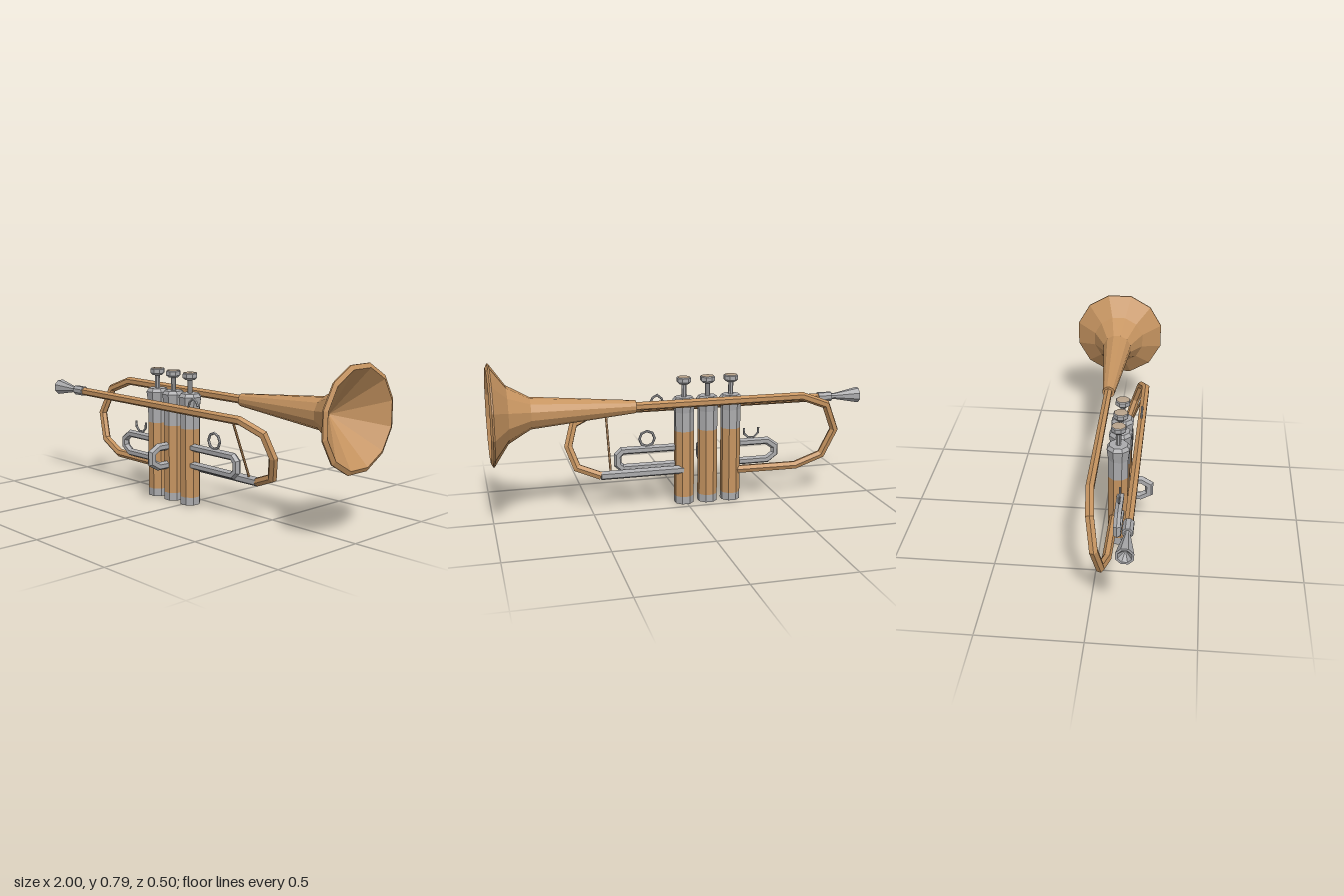
import * as THREE from 'three';

const brass = new THREE.MeshStandardMaterial({ color: 0xc69460 });
brass.name = 'brass';
const silver = new THREE.MeshStandardMaterial({ color: 0xababad });
silver.name = 'silver';
const pearl = new THREE.MeshStandardMaterial({ color: 0xb9a48c });
pearl.name = 'pearl';

// Faceted mesh: split the corners so every face has its own normal
function part(parent, name, geometry, material) {
  const g = geometry.index ? geometry.toNonIndexed() : geometry;
  g.computeVertexNormals();
  const mesh = new THREE.Mesh(g, material);
  mesh.name = name;
  parent.add(mesh);
  return mesh;
}

// Turned profile of [radius, height] pairs, with flats facing the axes
function turned(profile, sides) {
  const pts = profile.map(([r, h]) => new THREE.Vector2(r, h));
  return new THREE.LatheGeometry(pts, sides, Math.PI / sides);
}

// Pipe through corner points, with mitred joints and closed ends
function pipe(points, radius, sides = 6) {
  const P = points.map((p) => new THREE.Vector3(...p));
  const dirs = P.slice(1).map((p, i) => p.clone().sub(P[i]).normalize());
  const first = dirs[0];
  const u = Math.abs(first.y) < 0.9 ? new THREE.Vector3(0, 1, 0) : new THREE.Vector3(1, 0, 0);
  u.addScaledVector(first, -u.dot(first)).normalize();
  const pos = [];
  const idx = [];
  P.forEach((p, i) => {
    const tin = dirs[Math.max(i - 1, 0)];
    const tout = dirs[Math.min(i, dirs.length - 1)];
    const mitre = tin.clone().add(tout).normalize();
    const v = tin.clone().cross(u);
    for (let k = 0; k < sides; k++) {
      const a = (k / sides) * Math.PI * 2;
      const o = u.clone().multiplyScalar(radius * Math.cos(a)).addScaledVector(v, radius * Math.sin(a));
      o.addScaledVector(tin, -o.dot(mitre) / tin.dot(mitre));
      pos.push(p.x + o.x, p.y + o.y, p.z + o.z);
      if (i < P.length - 1) {
        const A = i * sides + k;
        const B = i * sides + ((k + 1) % sides);
        idx.push(A, B, A + sides, B, B + sides, A + sides);
      }
    }
    u.applyQuaternion(new THREE.Quaternion().setFromUnitVectors(tin, tout));
  });
  const last = (P.length - 1) * sides;
  for (let k = 1; k < sides - 1; k++) {
    idx.push(0, k + 1, k, last, last + k, last + k + 1);
  }
  const g = new THREE.BufferGeometry();
  g.setAttribute('position', new THREE.Float32BufferAttribute(pos, 3));
  g.setIndex(idx);
  return g;
}

// Piston valve standing at x
function valve(x) {
  const g = new THREE.Group();
  g.name = 'valve';
  g.position.set(x, 0, 0.085);
  part(g, 'bottomCap', turned([[0, 0], [0.052, 0], [0.052, 0.04]], 8), silver);
  part(g, 'casing', turned([[0.052, 0.04], [0.052, 0.39]], 8), brass);
  part(g, 'topCap', turned([[0.052, 0.39], [0.052, 0.49], [0.06, 0.55], [0.047, 0.567], [0, 0.567]], 8), silver);
  part(g, 'stem', turned([[0.013, 0.56], [0.013, 0.645]], 8), silver);
  part(g, 'button', turned([[0, 0.634], [0.026, 0.634], [0.038, 0.645], [0.038, 0.665], [0.034, 0.67]], 8), silver);
  part(g, 'buttonTop', turned([[0.034, 0.67], [0, 0.672]], 8), pearl);
  return g;
}

export function createModel() {
  const model = new THREE.Group();
  model.name = 'trumpet';

  // Flared bell with a rim and a hollow cone inside
  const bell = part(model, 'bell', turned([
    [0, 0.28], [0.032, 0.28], [0.079, 0.8], [0.142, 0.91], [0.2485, 0.983],
    [0.2485, 0.99], [0.228, 1.0], [0, 0.82],
  ], 12).rotateZ(-Math.PI / 2), brass);
  bell.position.set(0, 0.554, -0.012);

  // Bell pipe: runs back, loops round and returns to the valves
  part(model, 'bellPipe', pipe([
    [0.3, 0.555, -0.014], [-0.6, 0.555, -0.014], [-0.74, 0.5, 0], [-0.8, 0.358, 0.022],
    [-0.74, 0.217, 0.045], [-0.6, 0.16, 0.062], [-0.25, 0.16, 0.068],
  ], 0.022), brass);

  // Lead pipe: runs forward and curves down to the tuning slide
  part(model, 'leadPipe', pipe([
    [-0.8, 0.497, 0.174], [0.45, 0.497, 0.174], [0.572, 0.445, 0.144], [0.605, 0.337, 0.112],
    [0.568, 0.232, 0.078], [0.45, 0.187, 0.054],
  ], 0.022), brass);
  part(model, 'tuningSlide', pipe([[0.02, 0.187, 0.054], [0.45, 0.187, 0.054]], 0.023), silver);
  part(model, 'brace', pipe([[0.4, 0.49, 0.172], [0.4, 0.195, 0.056]], 0.006), brass);

  // Mouthpiece with a hollow cup, and its receiver
  const mouthpiece = part(model, 'mouthpiece', turned([
    [0, -0.955], [0.032, -0.997], [0.043, -0.997], [0.034, -0.95], [0.016, -0.86], [0.016, -0.82],
  ], 8).rotateZ(-Math.PI / 2), silver);
  const receiver = part(model, 'receiver', turned([
    [0, -0.84], [0.026, -0.84], [0.026, -0.765], [0, -0.765],
  ], 8).rotateZ(-Math.PI / 2), silver);
  for (const m of [mouthpiece, receiver]) m.position.set(0, 0.498, 0.174);

  for (const x of [-0.243, -0.118, 0.008]) model.add(valve(x));

  // Valve slides: one to each side and one to the front
  part(model, 'firstSlide', pipe([
    [-0.24, 0.297, 0.1], [-0.45, 0.297, 0.1], [-0.495, 0.265, 0.1],
    [-0.495, 0.226, 0.1], [-0.453, 0.195, 0.1], [-0.24, 0.195, 0.1],
  ], 0.02), silver);
  part(model, 'thirdSlide', pipe([
    [0, 0.297, 0.1], [0.332, 0.297, 0.1], [0.355, 0.275, 0.1],
    [0.355, 0.227, 0.1], [0.332, 0.206, 0.1], [0, 0.206, 0.1],
  ], 0.02), silver);
  part(model, 'secondSlide', pipe([
    [-0.118, 0.284, 0.09], [-0.118, 0.284, 0.19], [-0.118, 0.26, 0.231],
    [-0.118, 0.21, 0.231], [-0.118, 0.186, 0.19], [-0.118, 0.186, 0.09],
  ], 0.021), silver);

  // Finger ring, thumb saddle and finger hook
  const ring = part(model, 'fingerRing', new THREE.TorusGeometry(0.04, 0.007, 6, 8), silver);
  ring.position.set(0.2, 0.353, 0.1);
  const saddle = [];
  for (let i = 0; i <= 5; i++) {
    const a = Math.PI * (0.9 + i * 0.24);
    saddle.push([-0.363 + 0.042 * Math.cos(a), 0.36 + 0.042 * Math.sin(a), 0.1]);
  }
  part(model, 'thumbSaddle', pipe(saddle, 0.006), silver);
  part(model, 'fingerHook', pipe([
    [0.095, 0.51, 0.174], [0.104, 0.542, 0.174], [0.128, 0.562, 0.174],
    [0.152, 0.549, 0.174], [0.163, 0.528, 0.174],
  ], 0.006), silver);

  return model;
}
